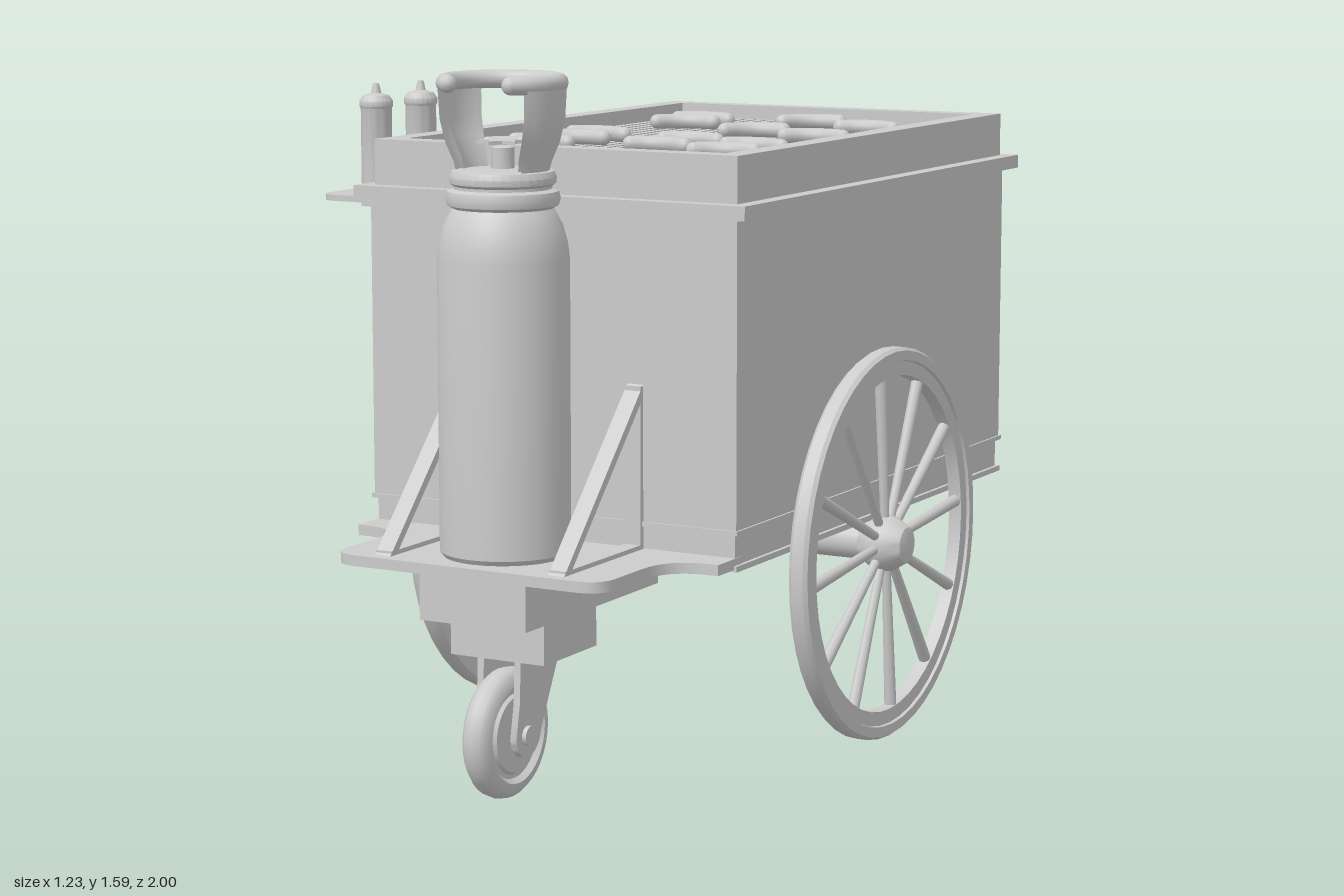
import * as THREE from 'three';
import { toCreasedNormals } from 'three/addons/utils/BufferGeometryUtils.js';

const CX = 0.058; // the cart body is offset from x = 0 by its side shelf
const mat = new THREE.MeshStandardMaterial({ color: 0xcccccc, side: THREE.DoubleSide });
const V2 = (p) => new THREE.Vector2(p[0], p[1]);

export function createModel() {
  const root = new THREE.Group();

  const add = (name, geo, x = 0, y = 0, z = 0, parent = root) => {
    const m = new THREE.Mesh(geo, mat);
    m.name = name;
    m.position.set(x, y, z);
    parent.add(m);
    return m;
  };
  // box from its min and max on each axis
  const box = (name, x0, x1, y0, y1, z0, z1, parent) =>
    add(name, new THREE.BoxGeometry(x1 - x0, y1 - y0, z1 - z0), (x0 + x1) / 2, (y0 + y1) / 2, (z0 + z1) / 2, parent);
  const lathe = (pts, seg = 32, start = 0, len = Math.PI * 2) =>
    toCreasedNormals(new THREE.LatheGeometry(pts.map(V2), seg, start, len), 0.6);
  const extrude = (shape, depth) =>
    toCreasedNormals(new THREE.ExtrudeGeometry(shape, { depth, bevelEnabled: false, curveSegments: 8 }), 0.5);
  // horizontal plate, outline drawn in (x, -z)
  const plate = (name, shape, y, depth) => add(name, extrude(shape, depth).rotateX(-Math.PI / 2), 0, y, 0);
  // upright profile, outline drawn in (z, y), centred on x
  const profile = (name, shape, x, width, parent) =>
    add(name, extrude(shape, width).rotateY(-Math.PI / 2), x + width / 2, 0, 0, parent);
  const rect = (T, x0, x1, z0, z1) => new T([[x0, -z0], [x0, -z1], [x1, -z1], [x1, -z0]].map(V2));

  // Body
  box('body', -0.41, 0.525, 0.61, 1.3, -0.785, 0.63);
  box('lowerBand', -0.404, 0.519, 0.53, 0.61, -0.779, 0.624);
  box('bottomFlange', -0.413, 0.528, 0.525, 0.538, -0.79, 0.633);
  box('bandTrim', -0.415, 0.53, 0.605, 0.615, -0.79, 0.635);
  box('topLip', -0.44, 0.556, 1.29, 1.322, -0.81, 0.655);
  const rim = rect(THREE.Shape, -0.405, 0.52, -0.78, 0.62);
  rim.holes.push(rect(THREE.Path, -0.352, 0.465, -0.73, 0.565));
  plate('trayRim', rim, 1.32, 0.105);

  // Grill bars
  const grill = new THREE.Group();
  grill.name = 'grill';
  root.add(grill);
  for (let i = 0; i < 26; i++) {
    const x = -0.337 + i * 0.0315;
    box('grillBar', x - 0.01, x + 0.01, 1.372, 1.39, -0.73, 0.565, grill);
  }

  // Sausages: x, z, turn
  const bend = new THREE.CatmullRomCurve3(
    [[-0.07, 0.012], [-0.035, -0.007], [0, -0.013], [0.035, -0.007], [0.07, 0.012]]
      .map(([x, z]) => new THREE.Vector3(x, 0, z)));
  const sausageGeo = new THREE.TubeGeometry(bend, 12, 0.018, 10);
  const tipGeo = new THREE.SphereGeometry(0.018, 10, 8);
  [[-0.14, -0.46, 0], [-0.14, -0.36, 0.35], [-0.14, 0.06, 0], [-0.14, 0.18, 0.35], [-0.14, 0.32, 0],
    [-0.14, 0.43, 0.2], [0.13, -0.51, 0.5], [0.13, -0.205, 0.5], [0.135, 0.11, 0], [0.135, 0.267, 0],
    [0.34, -0.4, 0], [0.34, -0.11, 0.2], [0.34, 0.187, 0], [0.34, 0.337, 0.2]].forEach(([x, z, turn]) => {
    const s = add('sausage', sausageGeo, x, 1.409, z, grill);
    s.rotation.y = turn;
    [-1, 1].forEach((k) => add('sausageTip', tipGeo, k * 0.07, 0, 0.012, s));
  });

  // Large spoked wheels on an axle
  const rimGeo = lathe([[0.395, -0.016], [0.428, -0.016], [0.43, -0.023], [0.453, -0.023], [0.46, -0.014],
    [0.46, 0.014], [0.453, 0.023], [0.43, 0.023], [0.428, 0.016], [0.395, 0.016], [0.395, -0.016]], 48);
  const hubGeo = lathe([[0, -0.055], [0.042, -0.055], [0.064, -0.02], [0.066, 0], [0.064, 0.02],
    [0.042, 0.055], [0.034, 0.058], [0, 0.058]]);
  const spokeGeo = new THREE.CylinderGeometry(0.015, 0.011, 0.35, 8).translate(0, 0.225, 0).rotateX(Math.PI / 2);
  for (const [name, x, dir] of [['leftWheel', 0.556, 1], ['rightWheel', -0.45, -1]]) {
    const wheel = new THREE.Group();
    wheel.name = name;
    wheel.position.set(x, 0.47, -0.06);
    wheel.rotation.z = -dir * Math.PI / 2;
    root.add(wheel);
    add('wheelRim', rimGeo, 0, 0, 0, wheel);
    add('hub', hubGeo, 0, 0, 0, wheel);
    for (let i = 0; i < 12; i++) {
      add('spoke', spokeGeo, 0, 0, 0, wheel).rotation.y = dir * (0.09 + i * Math.PI / 6);
    }
  }
  add('axle', new THREE.CylinderGeometry(0.043, 0.043, 0.98, 24).rotateZ(Math.PI / 2), 0.053, 0.47, -0.06);

  // Front platform with flared sides
  const deck = new THREE.Shape();
  const L = CX - 0.463, R = CX + 0.463, l = CX - 0.34, r = CX + 0.34;
  deck.moveTo(L, -0.6);
  deck.lineTo(L, -0.705);
  deck.lineTo(L + 0.03, -0.705);
  deck.quadraticCurveTo(l, -0.71, l, -0.82);
  deck.lineTo(l, -0.93);
  deck.quadraticCurveTo(l, -0.995, l + 0.065, -0.995);
  deck.lineTo(r - 0.065, -0.995);
  deck.quadraticCurveTo(r, -0.995, r, -0.93);
  deck.lineTo(r, -0.82);
  deck.quadraticCurveTo(r, -0.71, R - 0.03, -0.705);
  deck.lineTo(R, -0.705);
  deck.lineTo(R, -0.6);
  plate('frontPlatform', deck, 0.53, 0.024);
  box('platformBeam', -0.075, 0.193, 0.42, 0.53, 0.38, 0.96);
  box('casterBlock', -0.06, 0.178, 0.325, 0.42, 0.635, 0.86);

  // Platform braces
  for (const x of [-0.163, 0.275]) {
    const brace = new THREE.Group();
    brace.name = 'platformBrace';
    root.add(brace);
    profile('diagonal', new THREE.Shape([[0.945, 0.554], [0.97, 0.554], [0.63, 0.918], [0.63, 0.89]].map(V2)), x, 0.04, brace);
    box('upright', x - 0.02, x + 0.02, 0.554, 0.915, 0.63, 0.642, brace);
    box('foot', x - 0.02, x + 0.02, 0.554, 0.564, 0.63, 0.965, brace);
  }

  // Front caster
  const casterGeo = lathe([[0, -0.03], [0.085, -0.03], [0.09, -0.022], [0.1, -0.022], [0.11, -0.034], [0.13, -0.03],
    [0.142, -0.018], [0.146, 0], [0.142, 0.018], [0.13, 0.03], [0.11, 0.034], [0.1, 0.022], [0.09, 0.022],
    [0.085, 0.03], [0, 0.03]], 36).rotateZ(-Math.PI / 2);
  add('casterWheel', casterGeo, CX, 0.155, 0.825);
  const fork = new THREE.Shape();
  fork.moveTo(0.68, 0.327);
  fork.lineTo(0.85, 0.327);
  fork.lineTo(0.855, 0.23);
  fork.lineTo(0.87, 0.15);
  fork.quadraticCurveTo(0.86, 0.105, 0.82, 0.105);
  fork.quadraticCurveTo(0.775, 0.11, 0.765, 0.16);
  fork.closePath();
  for (const s of [-1, 1]) profile('casterFork', fork, CX + s * 0.047, 0.016);
  add('casterPin', new THREE.CylinderGeometry(0.022, 0.022, 0.13, 16).rotateZ(Math.PI / 2), CX, 0.155, 0.825);

  // Gas cylinder
  const gas = new THREE.Group();
  gas.name = 'gasCylinder';
  gas.position.set(CX, 0, 0.82);
  root.add(gas);
  add('tank', lathe([[0, 0.554], [0.135, 0.554], [0.143, 0.565], [0.143, 1.2], [0.139, 1.235], [0.128, 1.275],
    [0.112, 1.305], [0.108, 1.31], [0.12, 1.317], [0.124, 1.332], [0.12, 1.347], [0.106, 1.352], [0.106, 1.358],
    [0.114, 1.364], [0.116, 1.377], [0.11, 1.39], [0.09, 1.393], [0, 1.396]], 36), 0, 0, 0, gas);
  add('valve', lathe([[0.025, 1.39], [0.025, 1.44], [0.01, 1.445], [0.01, 1.452], [0, 1.452]], 12), 0, 0, 0, gas);
  const star = new THREE.Shape(Array.from({ length: 12 }, (_, i) => {
    const a = i * Math.PI / 6, d = i % 2 ? 0.032 : 0.056;
    return new THREE.Vector2(Math.sin(a) * d, Math.cos(a) * d);
  }));
  add('valveKnob', extrude(star, 0.008).rotateX(-Math.PI / 2), 0, 1.448, 0, gas);
  const arm = [[0.083, 1.39], [0.1, 1.39], [0.105, 1.41], [0.122, 1.45], [0.134, 1.5], [0.138, 1.57],
    [0.118, 1.57], [0.116, 1.5], [0.105, 1.46], [0.088, 1.42], [0.083, 1.39]];
  for (const s of [-1, 1]) add('guardArm', lathe(arm, 10, s * Math.PI / 2 - 0.62, 1.24), 0, 0, 0, gas);
  const gap = 1.4, ringR = 0.122;
  add('guardRing', new THREE.TorusGeometry(ringR, 0.02, 12, 36, Math.PI * 2 - gap)
    .rotateZ(Math.PI / 2 + gap / 2).rotateX(Math.PI / 2), 0, 1.578, 0, gas);
  for (const s of [-1, 1]) {
    add('guardRingEnd', new THREE.SphereGeometry(0.02, 12, 8),
      s * ringR * Math.sin(gap / 2), 1.578, ringR * Math.cos(gap / 2), gas);
  }

  // Push handle at the back
  const bracket = new THREE.Shape();
  bracket.moveTo(-0.78, 1.2);
  bracket.lineTo(-1, 1.2);
  bracket.lineTo(-1, 1.165);
  bracket.lineTo(-0.97, 1.145);
  bracket.lineTo(-0.89, 1.145);
  bracket.quadraticCurveTo(-0.835, 1.13, -0.835, 1.04);
  bracket.lineTo(-0.825, 0.945);
  bracket.lineTo(-0.78, 0.945);
  for (const s of [-1, 1]) profile('handleBracket', bracket, 0.038 + s * 0.278, 0.074);
  add('handleBar', new THREE.CylinderGeometry(0.02, 0.02, 0.52, 16).rotateZ(Math.PI / 2), 0.038, 1.172, -0.955);

  // Side shelf with two squeeze bottles
  const shelf = new THREE.Shape();
  shelf.moveTo(-0.4, -0.09);
  shelf.lineTo(-0.45, -0.09);
  shelf.quadraticCurveTo(-0.455, -0.155, -0.5, -0.16);
  shelf.lineTo(-0.58, -0.16);
  shelf.quadraticCurveTo(-0.618, -0.165, -0.618, -0.21);
  shelf.lineTo(-0.618, -0.49);
  shelf.quadraticCurveTo(-0.615, -0.54, -0.56, -0.543);
  shelf.lineTo(-0.5, -0.543);
  shelf.quadraticCurveTo(-0.455, -0.55, -0.45, -0.61);
  shelf.lineTo(-0.4, -0.61);
  plate('sideShelf', shelf, 1.27, 0.014);
  const bottleGeo = lathe([[0, 0], [0.036, 0], [0.036, 0.195], [0.039, 0.2], [0.039, 0.212], [0.03, 0.225],
    [0.012, 0.23], [0.007, 0.252], [0, 0.254]], 20);
  add('bottle', bottleGeo, -0.497, 1.283, 0.287);
  add('bottle', bottleGeo, -0.53, 1.283, 0.425);

  return root;
}
